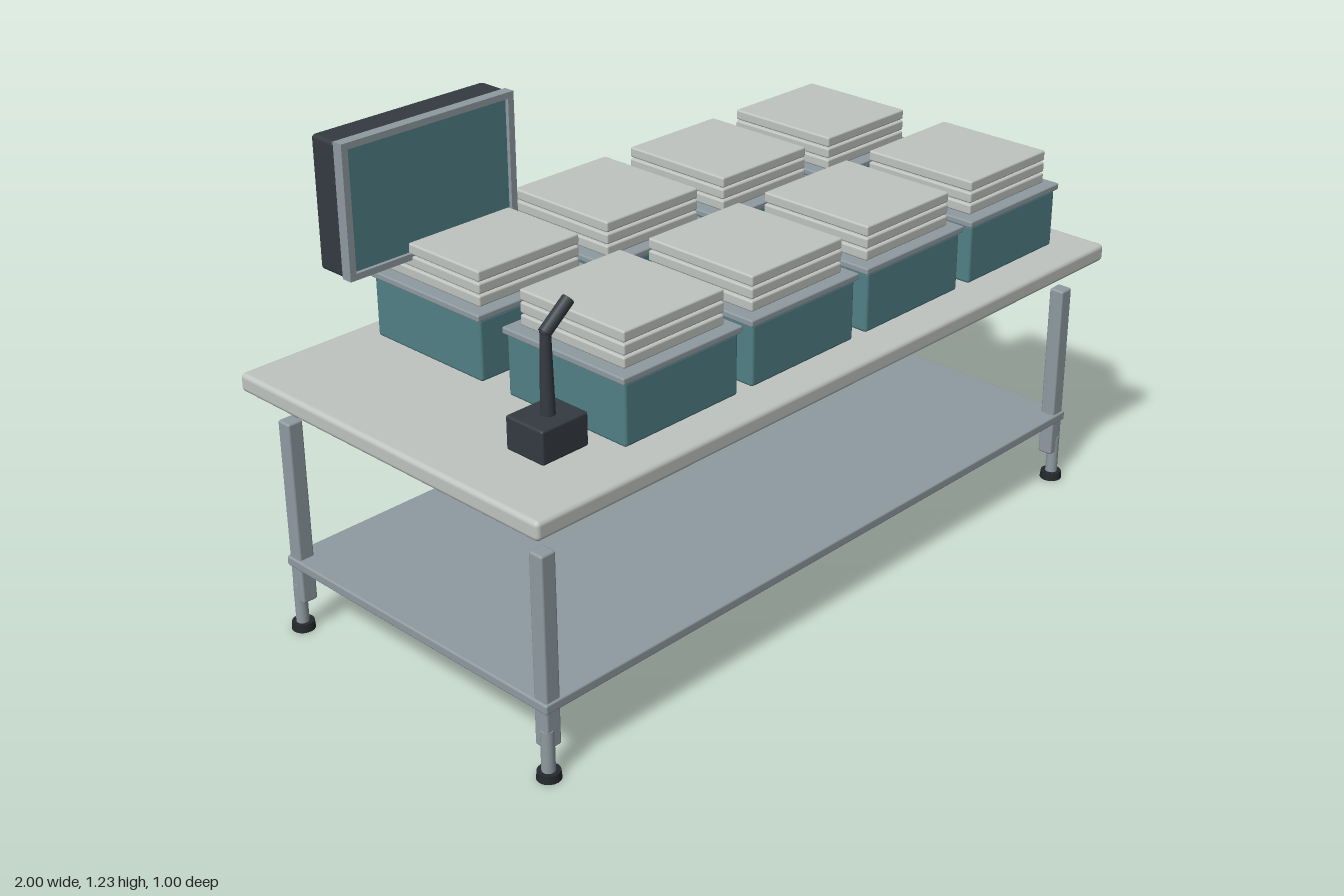
import * as THREE from 'three';
import { RoundedBoxGeometry } from 'three/addons/geometries/RoundedBoxGeometry.js';

const material = (name, color) => {
  const m = new THREE.MeshStandardMaterial({ color });
  m.name = name;
  return m;
};

export function createModel() {
  const model = new THREE.Group();
  model.name = 'workTable';

  const pale = material('paleGrey', 0xc0c4c0);
  const steel = material('steelGrey', 0x8f9ba1);
  const teal = material('teal', 0x518085);
  const dark = material('charcoal', 0x353b42);
  const black = material('rubberBlack', 0x25282c);

  const add = (parent, name, geometry, mat, x, y, z) => {
    const mesh = new THREE.Mesh(geometry, mat);
    mesh.name = name;
    mesh.position.set(x, y, z);
    parent.add(mesh);
    return mesh;
  };
  const group = (name) => {
    const g = new THREE.Group();
    g.name = name;
    model.add(g);
    return g;
  };
  const rounded = (w, h, d, r) => new RoundedBoxGeometry(w, h, d, 2, r);
  const box = (w, h, d) => new THREE.BoxGeometry(w, h, d);

  // Table top and lower shelf
  add(model, 'tableTop', rounded(2, 0.047, 1, 0.012), pale, 0, 0.6615, 0);
  add(model, 'shelf', rounded(1.9, 0.025, 0.905, 0.005), steel, 0, 0.1875, 0);

  // Legs with inner adjusting posts and feet
  for (const sx of [-1, 1]) {
    for (const sz of [-1, 1]) {
      const leg = group('leg');
      add(leg, 'legTube', rounded(0.042, 0.482, 0.041, 0.006), steel, sx * 0.924, 0.321, sz * 0.427);
      add(leg, 'legPost', new THREE.CylinderGeometry(0.016, 0.016, 0.107, 16), steel, sx * 0.933, 0.0715, sz * 0.434);
      add(leg, 'foot', new THREE.CylinderGeometry(0.027, 0.029, 0.02, 20), black, sx * 0.932, 0.01, sz * 0.434);
    }
  }

  // Two rows of four bins, each holding three stacked slabs
  for (const z of [-0.243, 0.217]) {
    for (let i = 0; i < 4; i++) {
      const bin = group('bin');
      bin.position.set(-0.477 + i * 0.4, 0, z);
      add(bin, 'binBody', rounded(0.353, 0.155, 0.37, 0.008), teal, 0, 0.7625, 0);
      add(bin, 'binRim', rounded(0.37, 0.017, 0.382, 0.004), steel, 0, 0.8465, 0);
      for (let k = 0; k < 3; k++) {
        add(bin, 'slab', rounded(0.31, 0.027, 0.325, 0.005), pale, 0, 0.8705 + k * 0.0305, 0);
      }
    }
  }

  // Monitor housing
  const monitor = group('monitor');
  monitor.position.set(-0.5575, 1.07, 0);
  add(monitor, 'housing', rounded(0.505, 0.325, 0.082, 0.01), dark, 0, 0, -0.379);

  // Bezel frame around a recessed screen
  const rectangle = (PathType, w, h) => new PathType([
    new THREE.Vector2(-w / 2, -h / 2), new THREE.Vector2(w / 2, -h / 2),
    new THREE.Vector2(w / 2, h / 2), new THREE.Vector2(-w / 2, h / 2),
  ]);
  const frame = rectangle(THREE.Shape, 0.505, 0.328);
  frame.holes.push(rectangle(THREE.Path, 0.47, 0.296));
  add(monitor, 'bezel', new THREE.ExtrudeGeometry(frame, { depth: 0.029, bevelEnabled: false }), steel, 0, 0, -0.339);
  add(monitor, 'screen', box(0.47, 0.296, 0.02), teal, 0, 0, -0.33);

  // Rear panel with vents, bracket, hinge and screws
  add(monitor, 'rearPanel', box(0.375, 0.21, 0.017), pale, 0.005, 0.007, -0.4265);
  for (let i = 0; i < 11; i++) {
    add(monitor, 'vent', box(0.014, 0.026, 0.004), black, 0.005 + (i - 5) * 0.025, 0.077, -0.4365);
  }
  add(monitor, 'bracket', rounded(0.12, 0.111, 0.024, 0.005), steel, 0.005, 0.002, -0.446);
  const hinge = add(monitor, 'hinge', new THREE.CylinderGeometry(0.012, 0.012, 0.19, 14), dark, 0.005, -0.08, -0.439);
  hinge.rotation.z = Math.PI / 2;
  for (const offset of [-0.06, 0, 0.06]) {
    add(monitor, 'hingeBlock', box(0.035, 0.03, 0.02), black, 0.005 + offset, -0.078, -0.439);
  }
  for (const sx of [-1, 1]) {
    for (const sy of [-1, 1]) {
      const screw = add(monitor, 'screw', new THREE.CylinderGeometry(0.007, 0.007, 0.006, 10), dark, 0.005 + sx * 0.168, 0.007 + sy * 0.086, -0.4365);
      screw.rotation.x = Math.PI / 2;
    }
  }
  add(monitor, 'stand', rounded(0.035, 0.1, 0.023, 0.004), steel, 0.012, -0.169, -0.414);

  // Small scanner on a bent neck
  const scanner = group('scanner');
  scanner.position.set(-0.772, 0, 0.287);
  add(scanner, 'scannerBase', rounded(0.133, 0.082, 0.115, 0.006), dark, 0, 0.733, 0);
  add(scanner, 'neck', new THREE.CylinderGeometry(0.012, 0.017, 0.2, 16), dark, 0, 0.868, 0.004);
  add(scanner, 'neckJoint', new THREE.SphereGeometry(0.013, 16, 10), dark, 0, 0.966, 0.004);
  const head = add(scanner, 'head', new THREE.CylinderGeometry(0.015, 0.015, 0.09, 16), dark, 0.032, 0.99, 0.004);
  head.rotation.z = -0.9;

  return model;
}
